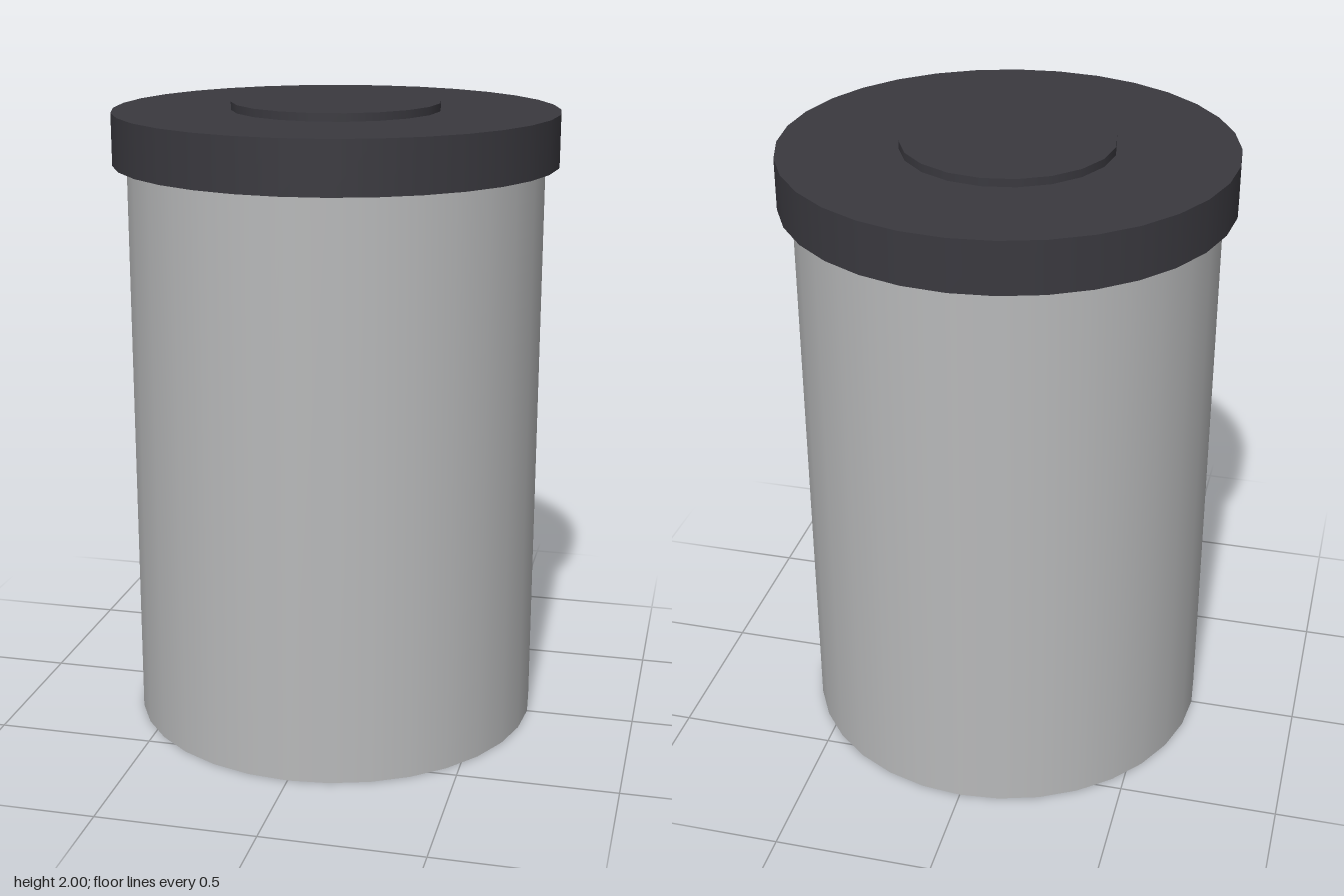
import * as THREE from 'three';

export function createModel() {
  const model = new THREE.Group();
  model.name = 'canister';

  const bodyGrey = new THREE.MeshStandardMaterial({ color: 0xb8b9ba });
  bodyGrey.name = 'light grey';
  const lidGrey = new THREE.MeshStandardMaterial({ color: 0x3a393f });
  lidGrey.name = 'charcoal';

  // Upright capped cylinder between two heights
  function addDisc(name, radius, bottom, top, sides, material) {
    const geometry = new THREE.CylinderGeometry(radius, radius, top - bottom, sides);
    const mesh = new THREE.Mesh(geometry, material);
    mesh.name = name;
    mesh.position.y = (bottom + top) / 2;
    model.add(mesh);
  }

  // Tall container
  addDisc('body', 0.653, 0, 1.83, 32, bodyGrey);
  // Overhanging cap
  addDisc('lid', 0.697, 1.813, 1.975, 32, lidGrey);
  // Low raised disc in the middle of the cap
  addDisc('lidDisc', 0.327, 1.96, 2, 20, lidGrey);

  return model;
}
